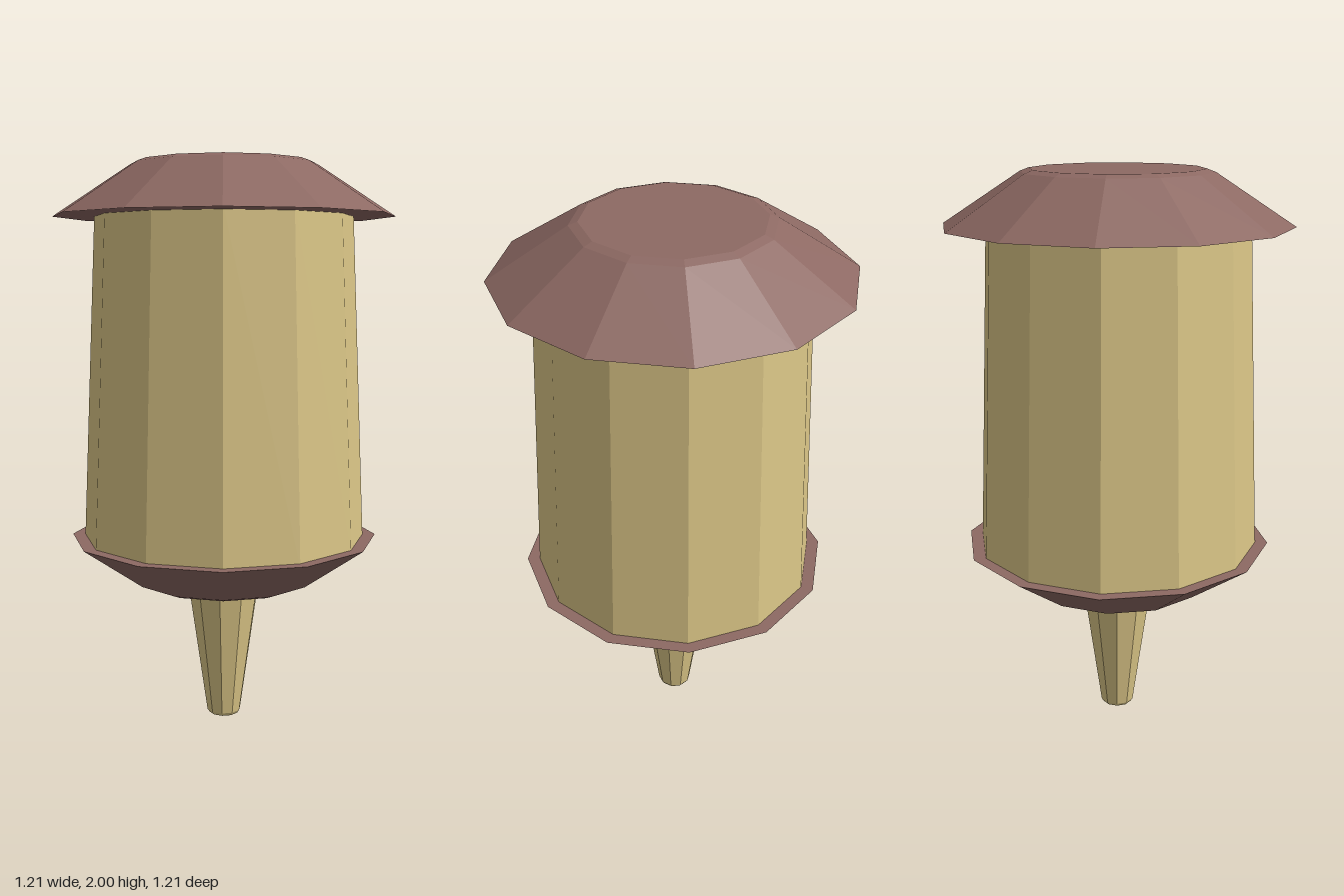
import * as THREE from 'three';

const wood = new THREE.MeshStandardMaterial({ color: 0xdbc687 });
wood.name = 'pale wood';
const brown = new THREE.MeshStandardMaterial({ color: 0x8d6963 });
brown.name = 'dusty brown';

// Faceted solid of revolution; the profile runs bottom to top as [radius, y]
function turned(name, profile, sides, material) {
  const points = profile.map(([r, y]) => new THREE.Vector2(r, y));
  const geometry = new THREE.LatheGeometry(points, sides).toNonIndexed();
  geometry.computeVertexNormals();
  const mesh = new THREE.Mesh(geometry, material);
  mesh.name = name;
  return mesh;
}

export function createModel() {
  const group = new THREE.Group();
  group.name = 'spindle';

  // Tapered peg with a slightly eased tip
  group.add(turned('peg', [[0, 0], [0.054, 0], [0.062, 0.012], [0.135, 0.52], [0, 0.52]], 10, wood));

  // Lower flange, wide side up
  group.add(turned('lowerFlange', [[0, 0.508], [0.3, 0.508], [0.33, 0.52], [0.55, 0.675], [0, 0.675]], 12, brown));

  // Tapered drum body
  group.add(turned('body', [[0, 0.66], [0.506, 0.66], [0.454, 1.83], [0, 1.83]], 12, wood));

  // Upper cap, wide side down
  group.add(turned('cap', [[0, 1.812], [0.603, 1.812], [0.33, 1.989], [0.3, 2], [0, 2]], 12, brown));

  return group;
}
